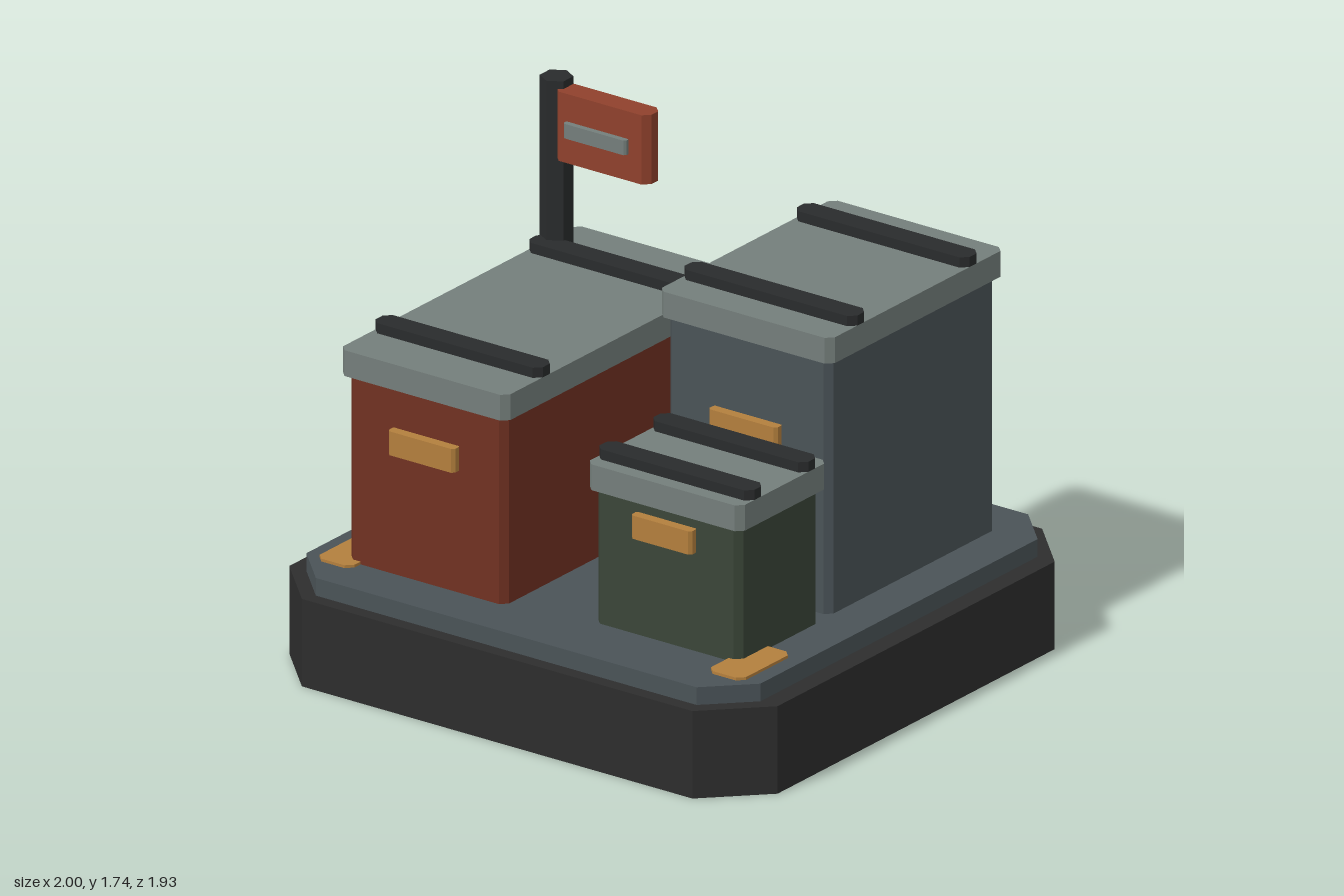
import * as THREE from 'three';

function mat(name, color) {
  const m = new THREE.MeshStandardMaterial({ color });
  m.name = name;
  return m;
}

// Upright block with its four vertical edges cut off
function block(name, material, [x0, x1], [y0, y1], [z0, z1], cut) {
  const w = (x1 - x0) / 2, d = (z1 - z0) / 2;
  const shape = new THREE.Shape([
    [w, -d + cut], [w, d - cut], [w - cut, d], [-w + cut, d],
    [-w, d - cut], [-w, -d + cut], [-w + cut, -d], [w - cut, -d],
  ].map(([x, y]) => new THREE.Vector2(x, y)));
  const geo = new THREE.ExtrudeGeometry(shape, { depth: y1 - y0, bevelEnabled: false });
  geo.rotateX(-Math.PI / 2);
  const mesh = new THREE.Mesh(geo, material);
  mesh.name = name;
  mesh.position.set((x0 + x1) / 2, y0, (z0 + z1) / 2);
  return mesh;
}

export function createModel() {
  const model = new THREE.Group();
  model.name = 'storageYard';
  const charcoal = mat('charcoal', 0x2d2d2d);
  const trim = mat('darkTrim', 0x292b2c);
  const slate = mat('slate', 0x4a5357);
  const lidGrey = mat('lidGrey', 0x747e7b);
  const rust = mat('rust', 0x703122);
  const green = mat('green', 0x3a4538);
  const brass = mat('brass', 0xb37f3d);
  const signRed = mat('signRed', 0x8f412c);

  // Plinth and deck
  const floor = 0.375;
  model.add(block('base', charcoal, [-1, 1], [0, 0.312], [-0.965, 0.965], 0.2));
  model.add(block('deck', slate, [-0.93, 0.93], [0.312, floor], [-0.915, 0.915], 0.15));

  // Crates: body, overhanging lid, two lid bars and a front handle
  const crates = [
    { name: 'rustCrate', material: rust, x: [-0.805, -0.12], z: [-0.555, 0.755], top: 1.133,
      bars: [-0.317, 0.532], hx: [-0.595, -0.323], hy: [0.813, 0.898] },
    { name: 'slateCrate', material: slate, x: [0.08, 0.788], z: [-0.775, 0.187], top: 1.372,
      bars: [-0.6, 0.02], hx: [0.297, 0.577], hy: [0.925, 1.008] },
    { name: 'greenCrate', material: green, x: [0.158, 0.793], z: [0.205, 0.69], top: 0.945,
      bars: [0.297, 0.595], hx: [0.353, 0.6], hy: [0.73, 0.813] },
  ];
  for (const { name, material, x, z, top, bars, hx, hy } of crates) {
    const crate = new THREE.Group();
    crate.name = name;
    const inset = 0.02, lidBase = top - 0.092, front = z[1] - inset;
    crate.add(block('body', material, [x[0] + inset, x[1] - inset], [floor, lidBase],
      [z[0] + inset, front], 0.024));
    crate.add(block('lid', lidGrey, x, [lidBase, top], z, 0.024));
    for (const c of bars) {
      crate.add(block('lidBar', trim, x, [top, top + 0.036], [c - 0.043, c + 0.043], 0.024));
    }
    crate.add(block('handle', brass, hx, hy, [front - 0.005, front + 0.036], 0.01));
    model.add(crate);
  }

  // Signpost
  const sign = new THREE.Group();
  sign.name = 'signpost';
  const poleGeo = new THREE.CylinderGeometry(0.056, 0.056, 1.327, 6).toNonIndexed();
  poleGeo.computeVertexNormals();
  const pole = new THREE.Mesh(poleGeo, trim);
  pole.name = 'pole';
  pole.position.set(-0.755, 1.0735, -0.38);
  sign.add(pole);
  sign.add(block('signBoard', signRed, [-0.73, -0.343], [1.463, 1.71], [-0.41, -0.326], 0.024));
  sign.add(block('signPlate', lidGrey, [-0.675, -0.418], [1.56, 1.612], [-0.33, -0.305], 0.008));
  model.add(sign);

  // Corner floor plates
  for (const s of [-1, 1]) {
    const xs = [s * 0.73, s * 0.873].sort((a, b) => a - b);
    model.add(block('cornerPlate', brass, xs, [floor, 0.385], [0.513, 0.792], 0.024));
  }
  return model;
}
